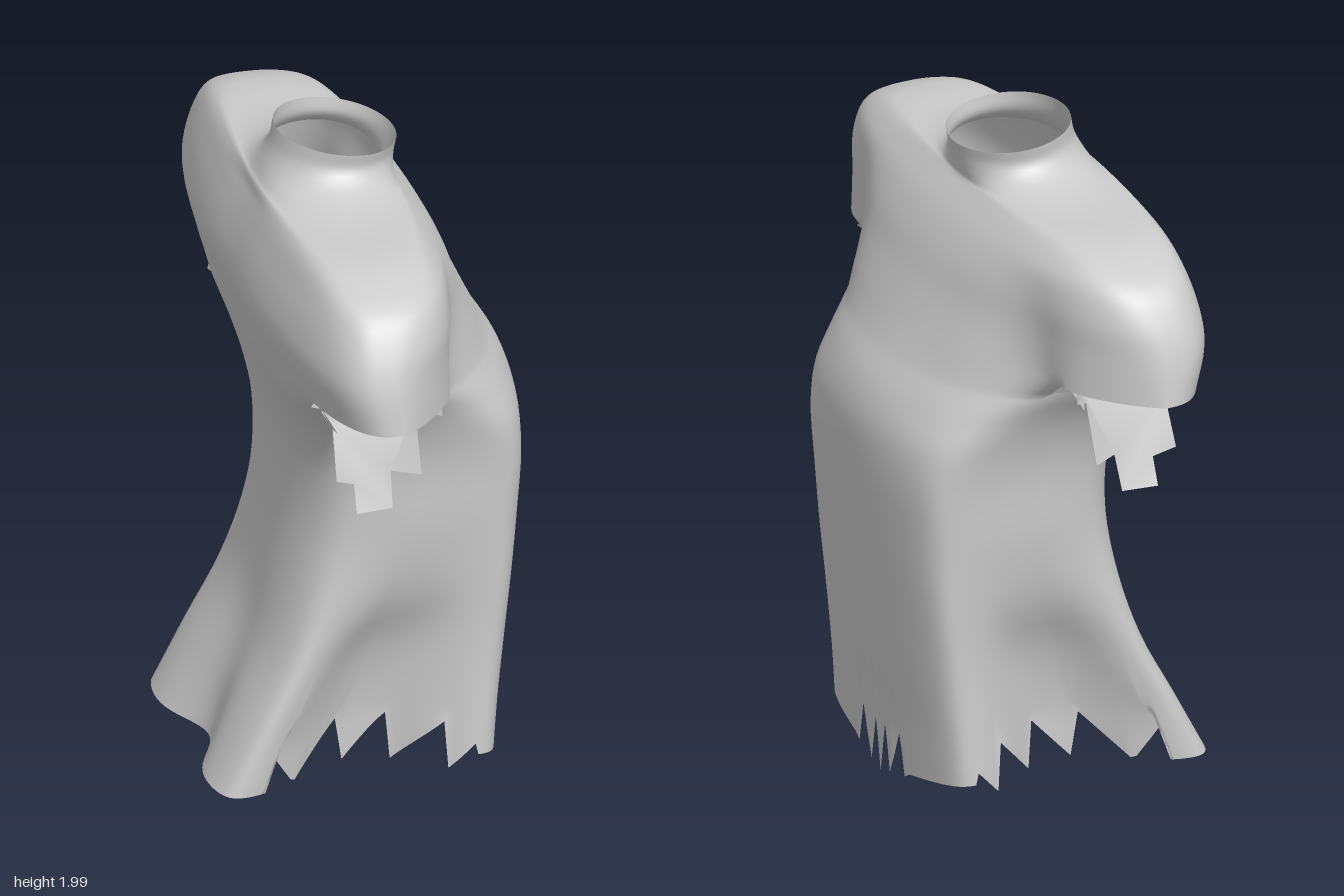
import * as THREE from 'three';

const COLS = 200;      // columns around the body, column 0 at the chest centre (+x)
const SUB = 4;         // rows between two cross-sections

// Cross-sections: y, chest x, back x, side x, half width, boxiness,
// chest roundness, back roundness, side pinch, spine groove, armpit crease
const BODY = [
  [0.07, 0.39, -0.51, 0.00, 0.445, 2.1, 1.00, 0.75, 0.37, 0.11, 0],
  [0.25, 0.405, -0.41, 0.00, 0.44, 2.0, 0.95, 0.75, 0.36, 0.06, 0],
  [0.45, 0.43, -0.31, 0.03, 0.435, 1.8, 0.85, 0.85, 0.27, 0.025, 0],
  [0.65, 0.45, -0.26, 0.07, 0.43, 1.65, 0.70, 1.20, 0.08, 0.01, 0],
  [0.85, 0.47, -0.24, 0.08, 0.43, 1.5, 0.60, 1.50, 0, 0.01, 0],
  [1.05, 0.483, -0.24, 0.07, 0.44, 1.5, 0.62, 1.50, 0, 0.01, 0],
  [1.17, 0.48, -0.258, 0.04, 0.465, 1.5, 0.90, 1.30, 0, 0.01, 0],
  [1.27, 0.45, -0.28, -0.01, 0.51, 1.55, 1.50, 1.05, 0, 0.01, 0.02],
  [1.37, 0.39, -0.31, -0.05, 0.585, 1.6, 2.10, 0.85, 0, 0.01, 0.05],
];
const SHOULDERS = [
  [1.44, 0.355, -0.325, -0.07, 0.94, 0.5, 1.60, 0.75, 0, 0.01, 0.07],
  [1.57, 0.295, -0.352, -0.09, 0.92, 0.6, 1.20, 0.65, 0, 0.01, 0.04],
  [1.67, 0.255, -0.335, -0.09, 0.885, 0.8, 0.95, 0.65, 0, 0.01, 0.02],
  [1.76, 0.205, -0.305, -0.09, 0.825, 1.0, 0.85, 0.75, 0, 0.01, 0],
  [1.81, 0.165, -0.285, -0.09, 0.73, 1.15, 0.80, 0.80, 0, 0.01, 0],
  [1.842, 0.138, -0.268, -0.08, 0.62, 1.2, 0.85, 0.85, 0, 0, 0],
  [1.855, 0.135, -0.257, -0.07, 0.37, 0.8, 0.90, 0.90, 0, 0, 0],
  [1.885, 0.14, -0.238, -0.04, 0.245, 0.5, 1.00, 1.00, 0, 0, 0],
  [1.93, 0.147, -0.213, -0.03, 0.195, 0.5, 1.00, 1.00, 0, 0, 0],
  [1.98, 0.155, -0.20, -0.02, 0.197, 0.5, 1.00, 1.00, 0, 0, 0],
];
const SPIKES = [0.01, 0.18, 0.03, 0.1, 0.18, 0.05];   // hem heights from the chest centre

const soft = (t) => t / Math.pow(1 + Math.pow(t, 6), 1 / 6);

// Point of one cross-section at angle a
function sectionPoint([y, front, back, side, half, box, pf, pb, pinch, groove, crease], a) {
  const c = Math.cos(a), s = Math.sin(a);
  let x = c > 0 ? side + (front - side) * Math.pow(c, pf)
                : side + (back - side) * Math.pow(-c, pb);
  let z = Math.sign(s) * half * soft(box * Math.abs(s)) / soft(box);
  z *= 1 - pinch * Math.exp(-((c / 0.46) ** 2));
  if (c < 0) x += groove * Math.exp(-((z / 0.17) ** 2));
  else x -= crease * Math.min(1, c * 2) * Math.exp(-(((Math.abs(z) - 0.56) / 0.13) ** 2));
  // the collar rim slopes down towards the chest
  const tilt = Math.max(0, (y - 1.855) / 0.125);
  return new THREE.Vector3(x, y - tilt * 0.13 * (x + 0.02), z);
}

// Height of the torn hem: spikes at the chest centre, saw teeth at the sides
function hemHeight(i, p, a) {
  const k = Math.min(i, COLS - i);
  if (k < SPIKES.length) return SPIKES[k];
  if (Math.cos(a) > 0.75) return 0.06 + Math.max(0, Math.abs(p.z) - 0.14) * 0.19;
  if (p.x < -0.34) return 0.065;
  if (p.x < -0.25) return 0.07 + (-0.25 - p.x) * 1.6;
  const f = (p.x + 0.25) / 0.15;
  return 0.06 + 0.16 * (f - Math.floor(f));
}

function shirtGeometry() {
  const pos = [], index = [], columns = [];
  for (let i = 0; i < COLS; i++) {
    const a = (i / COLS) * Math.PI * 2;
    const column = [];
    for (const keys of [BODY, SHOULDERS]) {
      const pts = keys.map((k) => sectionPoint(k, a));
      if (keys === BODY) pts[0].y = hemHeight(i, pts[0], a);
      const curve = new THREE.CatmullRomCurve3(pts);
      const n = (keys.length - 1) * SUB;
      for (let r = 0; r <= n; r++) column.push(curve.getPoint(r / n));
    }
    columns.push(column);
  }
  const rows = columns[0].length;
  const seam = (BODY.length - 1) * SUB;
  columns.forEach((col) => col.forEach((p) => pos.push(p.x, p.y, p.z)));
  for (let i = 0; i < COLS; i++) {
    const j = (i + 1) % COLS;
    const mid = ((i + 0.5) / COLS) * Math.PI * 2;
    const underArm = Math.abs(Math.sin(mid)) > 0.7;
    for (let r = 0; r < rows - 1; r++) {
      if (r === seam && underArm) continue;   // open sleeve
      const A = i * rows + r, B = j * rows + r;
      index.push(A, A + 1, B, B, A + 1, B + 1);
    }
  }
  const g = new THREE.BufferGeometry();
  g.setAttribute('position', new THREE.Float32BufferAttribute(pos, 3));
  g.setIndex(index);
  g.computeVertexNormals();
  return g;
}

// Torn strip hanging under the sleeve, leaning outwards
function ragGeometry() {
  const outline = [
    [-0.25, 1.42], [-0.18, 1.365], [-0.06, 1.375], [0.05, 1.4], [0.11, 1.43], [0.1, 1.385],
    [0.045, 1.36], [0.045, 1.19], [-0.035, 1.19], [-0.04, 1.09], [-0.15, 1.09],
    [-0.15, 1.17], [-0.21, 1.2], [-0.205, 1.34],
  ].map(([x, y]) => new THREE.Vector2(x, y));
  const g = new THREE.ShapeGeometry(new THREE.Shape(outline));
  const p = g.attributes.position;
  for (let i = 0; i < p.count; i++) {
    const x = p.getX(i), y = p.getY(i);
    p.setZ(i, 0.58 + Math.max(0, 1.37 - y) * 0.42 + 3.5 * (x + 0.08) ** 2);
  }
  g.computeVertexNormals();
  return g;
}

// Small torn points beside the strip
function tatterGeometry() {
  const g = new THREE.BufferGeometry();
  g.setAttribute('position', new THREE.Float32BufferAttribute([
    -0.21, 1.34, 0.63, -0.25, 1.43, 0.66, -0.22, 1.38, 0.76,
    0.045, 1.36, 0.63, 0.10, 1.385, 0.74, 0.11, 1.43, 0.66,
  ], 3));
  g.computeVertexNormals();
  return g;
}

export function createModel() {
  const model = new THREE.Group();
  model.name = 'tornShirt';
  const cloth = new THREE.MeshStandardMaterial({ color: 0xcccccc, side: THREE.DoubleSide });
  const add = (geometry, name, mirror = 1) => {
    const mesh = new THREE.Mesh(geometry, cloth);
    mesh.name = name;
    mesh.scale.z = mirror;
    model.add(mesh);
  };
  add(shirtGeometry(), 'shirt');
  for (const side of [1, -1]) {
    add(ragGeometry(), 'sleeveRag', side);
    add(tatterGeometry(), 'sleeveTatters', side);
  }
  return model;
}
